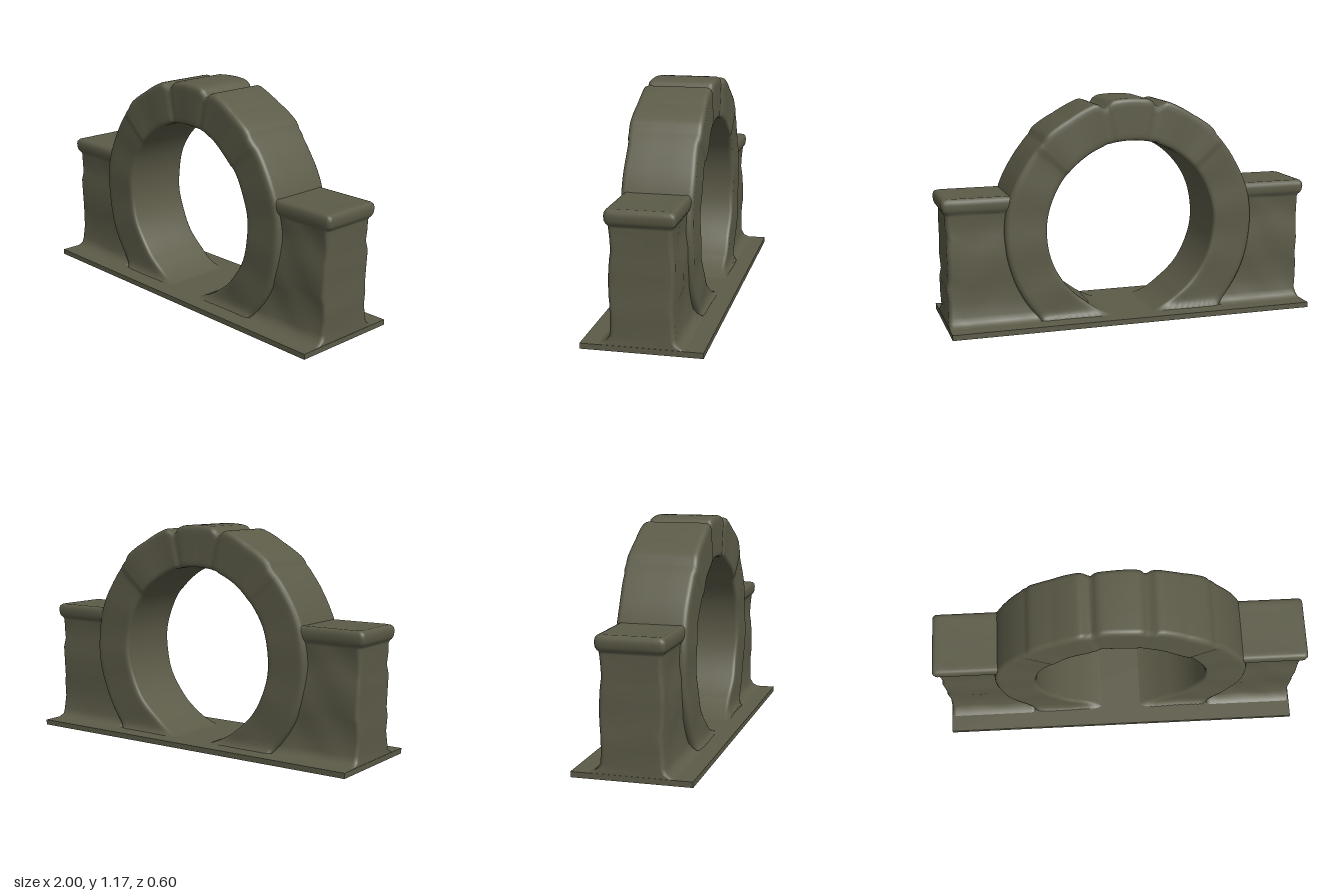
import * as THREE from 'three';

const stone = new THREE.MeshStandardMaterial({ color: 0x5c5b48 });
stone.name = 'olive stone';

const CENTRE = 0.49; // height of the ring centre

// Skins rows of points into a smooth surface; each row is a closed loop.
function skin(rows, closeRows) {
  const n = rows[0].length, m = rows.length, index = [];
  for (let i = 0; i < (closeRows ? m : m - 1); i++) {
    for (let j = 0; j < n; j++) {
      const a = i * n + j, b = i * n + (j + 1) % n;
      const k = ((i + 1) % m) * n;
      const c = k + j, d = k + (j + 1) % n;
      index.push(a, b, c, b, d, c);
    }
  }
  const g = new THREE.BufferGeometry();
  g.setAttribute('position', new THREE.Float32BufferAttribute(rows.flat(2), 3));
  g.setIndex(index);
  g.computeVertexNormals();
  return g;
}

// Linear interpolation through [key, value] pairs.
function sample(table, t) {
  for (let i = 1; i < table.length; i++) {
    const [k0, v0] = table[i - 1], [k1, v1] = table[i];
    if (t <= k1) return v0 + (v1 - v0) * (t - k0) / (k1 - k0);
  }
  return table[table.length - 1][1];
}

// Outer radius and half depth against degrees from the top: keystone, joints, side blocks
const OUTER = [[0, 0.682], [8, 0.682], [10, 0.676], [12, 0.653], [14, 0.655], [15.5, 0.684],
  [18, 0.688], [30, 0.679], [41, 0.686], [43, 0.683], [45, 0.674], [60, 0.674], [75, 0.682], [180, 0.68]];
const DEPTH = [[0, 0.175], [10, 0.174], [12.5, 0.169], [15, 0.178], [30, 0.182], [43, 0.188],
  [48, 0.188], [50, 0.182], [180, 0.184]];
const INNER = [[0, 0.46], [14, 0.462], [17, 0.466], [20, 0.46], [145, 0.46], [165, 0.475], [180, 0.48]];

function archGeometry() {
  const rows = [];
  for (let a = -180; a < 180; a += 1.5) {
    const t = THREE.MathUtils.degToRad(a), deg = Math.abs(a);
    const R = sample(OUTER, deg), r = sample(INNER, deg);
    const d = sample(DEPTH, deg) + 0.002 * Math.sin(a * 0.21);
    // half section from the outer face, over the bevel, down the side, to the inner face
    const half = [[R, 0.06], [R, d - 0.028], [R - 0.003, d - 0.014], [R - 0.011, d - 0.004], [R - 0.025, d]];
    for (let k = 1; k <= 9; k++) half.push([THREE.MathUtils.lerp(R - 0.025, r + 0.02, k / 9), d]);
    half.push([r + 0.008, d - 0.003], [r + 0.002, d - 0.01], [r, d - 0.022], [r, 0.06]);
    const loop = half.concat(half.map(([p, z]) => [p, -z]).reverse());
    rows.push(loop.map(([p, z]) => {
      const y = Math.max(0.015, CENTRE + p * Math.cos(t));
      // foot flares out onto the plinth
      const flare = Math.abs(z) > 0.1 ? 0.045 * Math.exp(-(y - 0.015) / 0.016) : 0;
      return [p * Math.sin(t), y, z + Math.sign(z) * flare];
    }));
  }
  return skin(rows, true);
}

// Pillar sections: height, outer x, half depth
const PILLAR = [[0.015, 0.98, 0.24], [0.032, 0.98, 0.2], [0.045, 0.978, 0.174], [0.075, 0.976, 0.16],
  [0.15, 0.977, 0.154], [0.23, 0.98, 0.153], [0.27, 0.972, 0.159], [0.36, 0.975, 0.16],
  [0.44, 0.977, 0.158], [0.49, 0.974, 0.15], [0.55, 0.977, 0.151], [0.6, 0.978, 0.154],
  [0.612, 0.982, 0.157], [0.62, 0.99, 0.164], [0.635, 0.997, 0.17], [0.66, 1.0, 0.172],
  [0.678, 0.997, 0.169], [0.688, 0.989, 0.161], [0.692, 0.975, 0.15], [0.69, 0.95, 0.13]];

function pillarGeometry() {
  const inner = 0.5, corner = 0.022;
  const rows = PILLAR.map(([y, xo, d]) => {
    const loop = [];
    // rounded rectangle, with each straight side subdivided
    const corners = [[xo, -d, 0], [inner, -d, 1], [inner, d, 2], [xo, d, 3]].map(([x, z, q]) => {
      const sx = x === xo ? -1 : 1, sz = z < 0 ? 1 : -1, pts = [];
      for (let k = 0; k <= 4; k++) {
        const f = (q + k / 4) * Math.PI / 2;
        pts.push([x + sx * corner + corner * Math.cos(f), z + sz * corner - corner * Math.sin(f)]);
      }
      return pts;
    });
    corners.forEach((pts, q) => {
      loop.push(...pts);
      const [e, s] = [pts[4], corners[(q + 1) % 4][0]];
      for (let k = 1; k < 8; k++) {
        loop.push([THREE.MathUtils.lerp(e[0], s[0], k / 8), THREE.MathUtils.lerp(e[1], s[1], k / 8)]);
      }
    });
    // slight weathering on the shaft
    const wear = y > 0.07 && y < 0.61 ? 0.003 : 0;
    return loop.map(([x, z]) => [x + wear * Math.sin(y * 38 + z * 9), y, z + wear * Math.sin(x * 23 + y * 17)]);
  });
  rows.push(rows[0].map(() => [0.75, 0.69, 0])); // closes the top
  return skin(rows, false);
}

export function createModel() {
  const model = new THREE.Group();
  model.name = 'stoneArch';
  const add = (name, geometry) => {
    const mesh = new THREE.Mesh(geometry, stone);
    mesh.name = name;
    model.add(mesh);
    return mesh;
  };

  // Plinth slab
  add('plinth', new THREE.BoxGeometry(1.964, 0.028, 0.6)).position.y = 0.014;

  // Round arch with keystone joints
  add('archRing', archGeometry());

  // Side pillars with overhanging caps
  const pillar = pillarGeometry();
  add('leftPillar', pillar);
  add('rightPillar', pillar).rotation.y = Math.PI;

  return model;
}
